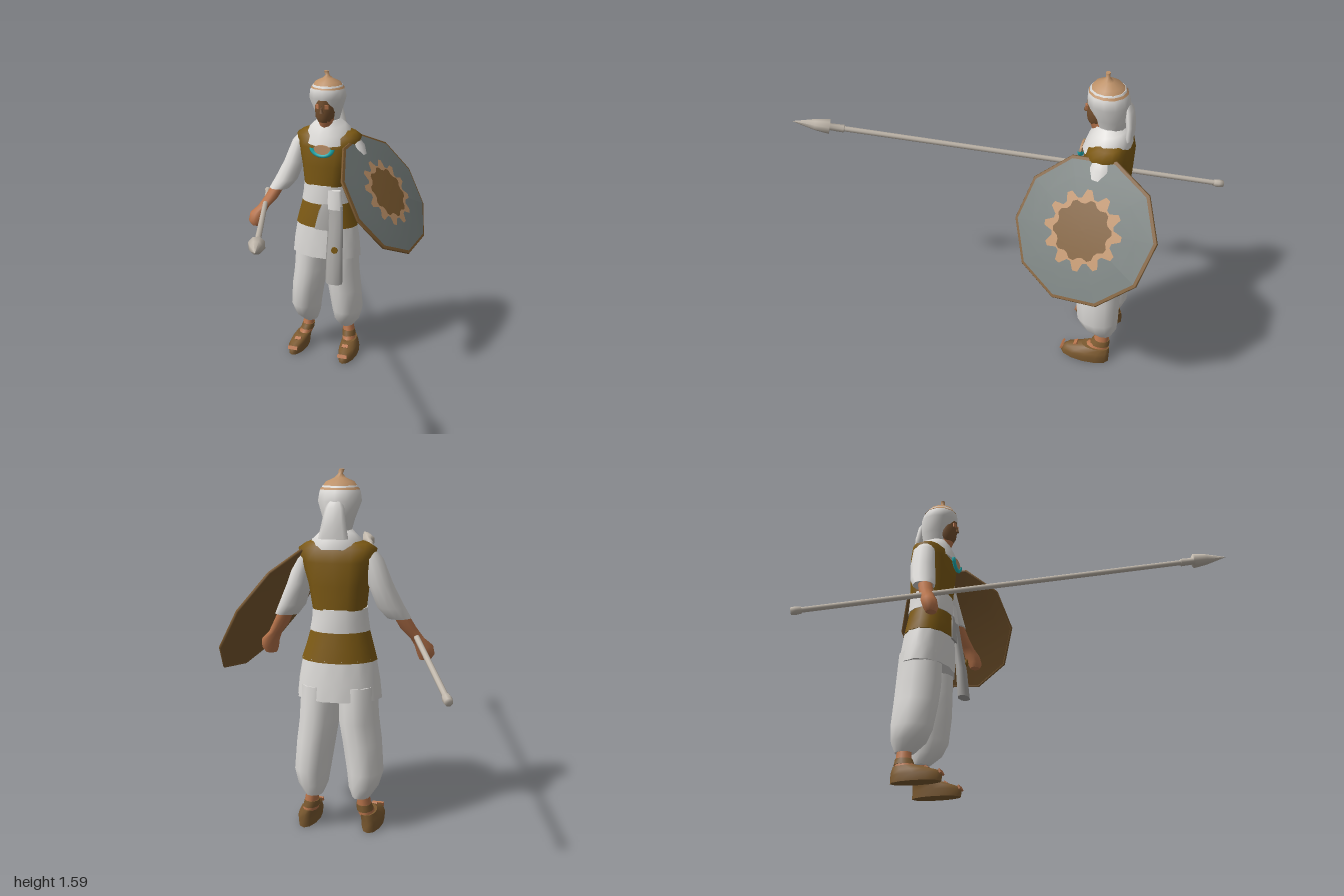
import * as THREE from 'three';

const mat = (name, color, side = THREE.FrontSide) => {
  const m = new THREE.MeshStandardMaterial({ color, side });
  m.name = name;
  return m;
};
const M = {
  white: mat('whiteCloth', 0xdcdad7, THREE.DoubleSide),
  grey: mat('greyCloth', 0xaaa8a5, THREE.DoubleSide),
  ochre: mat('ochreCloth', 0x7d5a14),
  slate: mat('shieldGrey', 0x727a78),
  tan: mat('tan', 0xbd9168),
  leather: mat('leather', 0x7c5a30),
  skin: mat('skin', 0xb9754c),
  beard: mat('beard', 0x75502f),
  teal: mat('teal', 0x1fb5b8),
  bone: mat('paleSpear', 0xc2b9ad),
};

// Skins horizontal rings [x, y, z, rx, rz, forwardDip]; square < 1 gives boxier rings
function loft(rings, n = 12, pleat = 0, square = 1) {
  const up = rings[0][1] < rings[rings.length - 1][1] ? rings : [...rings].reverse();
  const cap = r => [r[0], r[1], r[2], 0.0005, 0.0005, 0];
  const first = up[0], last = up[up.length - 1];
  const all = [cap(first), first, ...up, last, cap(last)];
  const bend = v => Math.sign(v) * Math.abs(v) ** square;
  const pos = [], idx = [];
  all.forEach(([x, y, z, rx, rz, dip = 0]) => {
    for (let j = 0; j < n; j++) {
      const a = (j / n) * Math.PI * 2;
      const k = 1 + (rx > 0.01 ? pleat * (j % 2 ? -1 : 1) : 0);
      pos.push(x + rx * k * bend(Math.cos(a)), y - dip * Math.sin(a), z + rz * k * bend(Math.sin(a)));
    }
  });
  for (let i = 0; i < all.length - 1; i++) {
    for (let j = 0; j < n; j++) {
      const a = i * n + j, b = i * n + (j + 1) % n, c = a + n, d = b + n;
      idx.push(a, c, b, b, c, d);
    }
  }
  const g = new THREE.BufferGeometry();
  g.setAttribute('position', new THREE.Float32BufferAttribute(pos, 3));
  g.setIndex(idx);
  g.computeVertexNormals();
  return g;
}

export function createModel() {
  const model = new THREE.Group();
  model.name = 'spearman';
  const add = (name, geo, material, parent = model) => {
    const mesh = new THREE.Mesh(geo, material);
    mesh.name = name;
    parent.add(mesh);
    return mesh;
  };

  // Legs, feet and arms, mirrored about the body's centre line
  const mid = 0.024;
  for (const s of [-1, 1]) {
    const side = s < 0 ? 'right' : 'left';
    const limb = rings => loft(rings.map(([d, ...rest]) => [mid + s * d, ...rest]));
    add(side + 'Trouser', limb([
      [0.085, 0.66, -0.512, 0.085, 0.112], [0.09, 0.5, -0.515, 0.09, 0.115],
      [0.105, 0.4, -0.517, 0.088, 0.112], [0.12, 0.27, -0.527, 0.082, 0.105],
      [0.115, 0.205, -0.54, 0.068, 0.088], [0.108, 0.155, -0.56, 0.04, 0.048]]), M.white);
    add(side + 'Ankle', limb([
      [0.112, 0.2, -0.56, 0.028, 0.034], [0.122, 0.11, -0.558, 0.032, 0.038],
      [0.13, 0.075, -0.54, 0.036, 0.06]]), M.skin);
    add(side + 'AnkleStrap', limb([
      [0.119, 0.122, -0.558, 0.034, 0.042], [0.125, 0.092, -0.552, 0.037, 0.051]]), M.leather);
    add(side + 'Sandal', limb([
      [0.147, 0, -0.483, 0.046, 0.125], [0.147, 0.035, -0.483, 0.049, 0.125],
      [0.143, 0.055, -0.495, 0.046, 0.113], [0.134, 0.08, -0.532, 0.039, 0.073]]), M.leather);
    const toes = add(side + 'Toes', new THREE.BoxGeometry(0.054, 0.02, 0.009), M.skin);
    toes.position.set(mid + s * 0.145, 0.042, -0.363);
    toes.rotation.x = -0.45;
    const instep = add(side + 'Instep', new THREE.BoxGeometry(0.034, 0.009, 0.02), M.skin);
    instep.position.set(mid + s * 0.139, 0.07, -0.432);
    instep.rotation.x = 0.55;
    add(side + 'Sleeve', limb([
      [0.12, 1.252, -0.5, 0.038, 0.04], [0.148, 1.21, -0.5, 0.047, 0.056],
      [0.181, 1.1, -0.49, 0.056, 0.064], [0.222, 1.0, -0.47, 0.062, 0.064],
      [0.255, 0.95, -0.452, 0.054, 0.054]]), M.white);
    add(side + 'Forearm', limb([
      [0.25, 0.98, -0.45, 0.036, 0.036], [0.292, 0.9, -0.425, 0.037, 0.036],
      [0.328, 0.85, -0.4, 0.031, 0.032], [0.355, 0.815, -0.385, 0.042, 0.04],
      [0.362, 0.775, -0.372, 0.04, 0.037], [0.358, 0.75, -0.37, 0.026, 0.025]]), M.skin);
  }

  // Tunic, sash and vest
  add('skirt', loft([
    [0.025, 0.6, -0.507, 0.188, 0.13], [0.025, 0.68, -0.505, 0.18, 0.127],
    [0.025, 0.78, -0.502, 0.163, 0.12]], 28, 0.02), M.white);
  add('tunicBand', loft([
    [0.025, 0.77, -0.502, 0.17, 0.126], [0.023, 0.83, -0.5, 0.152, 0.119],
    [0.022, 0.905, -0.5, 0.131, 0.108]], 16), M.ochre);
  add('sash', loft([
    [0.022, 0.9, -0.5, 0.135, 0.113], [0.021, 0.95, -0.5, 0.126, 0.111],
    [0.021, 1.0, -0.5, 0.122, 0.108]], 16), M.white);
  add('vest', loft([
    [0.022, 0.995, -0.5, 0.117, 0.102], [0.024, 1.1, -0.5, 0.132, 0.106],
    [0.028, 1.2, -0.5, 0.157, 0.108], [0.03, 1.255, -0.502, 0.174, 0.09],
    [0.03, 1.278, -0.505, 0.14, 0.07], [0.03, 1.3, -0.505, 0.08, 0.055]], 16, 0, 0.8), M.ochre);

  // Cloth hanging from the sash
  add('frontFold', loft([
    [0.04, 0.765, -0.378, 0.045, 0.008], [0.05, 0.86, -0.386, 0.036, 0.008],
    [0.052, 0.905, -0.393, 0.022, 0.006]], 8), M.grey);
  add('hangingCloth', loft([
    [0.12, 0.485, -0.343, 0.047, 0.03], [0.115, 0.63, -0.358, 0.046, 0.028],
    [0.11, 0.78, -0.383, 0.042, 0.022], [0.1, 0.9, -0.402, 0.044, 0.02]], 8), M.grey);
  add('sashKnot', loft([
    [0.1, 0.88, -0.398, 0.045, 0.02], [0.09, 0.98, -0.41, 0.04, 0.018]], 8), M.white);
  add('clothSpot', new THREE.CylinderGeometry(0.018, 0.018, 0.008, 8).rotateX(Math.PI / 2), M.ochre)
    .position.set(0.122, 0.675, -0.335);

  // Scarf and necklace
  add('scarf', loft([
    [0.032, 1.235, -0.488, 0.128, 0.112, 0.022], [0.032, 1.285, -0.492, 0.115, 0.1, 0.02],
    [0.032, 1.315, -0.49, 0.085, 0.08, 0.012], [0.032, 1.34, -0.485, 0.055, 0.06]], 14), M.white);
  add('throat', new THREE.CylinderGeometry(0.05, 0.05, 0.009, 14).rotateX(Math.PI / 2).scale(1, 0.55, 1), M.tan)
    .position.set(0.032, 1.197, -0.375);
  add('necklace', new THREE.TorusGeometry(0.055, 0.013, 6, 14, Math.PI).rotateZ(Math.PI).scale(1, 0.75, 0.7), M.teal)
    .position.set(0.032, 1.208, -0.374);

  // Head and turban
  add('neck', loft([
    [0.03, 1.28, -0.475, 0.042, 0.05], [0.03, 1.36, -0.455, 0.042, 0.068]]), M.skin);
  add('face', loft([
    [0.026, 1.335, -0.43, 0.032, 0.034], [0.026, 1.36, -0.436, 0.048, 0.052],
    [0.026, 1.41, -0.44, 0.054, 0.062], [0.026, 1.45, -0.44, 0.045, 0.06]]), M.beard);
  add('nose', new THREE.ConeGeometry(0.012, 0.04, 5), M.beard).position.set(0.026, 1.408, -0.379);
  for (const s of [-1, 1]) {
    const cheek = add('cheek', new THREE.BoxGeometry(0.02, 0.022, 0.008), M.skin);
    cheek.position.set(0.026 + s * 0.024, 1.42, -0.384);
    cheek.rotation.y = s * 0.4;
  }
  add('turban', loft([
    [0.026, 1.31, -0.495, 0.05, 0.06], [0.026, 1.38, -0.492, 0.07, 0.08],
    [0.026, 1.455, -0.477, 0.097, 0.097], [0.026, 1.495, -0.472, 0.091, 0.09],
    [0.026, 1.52, -0.47, 0.076, 0.077]]), M.white);
  add('capCrown', loft([
    [0.026, 1.503, -0.472, 0.088, 0.088], [0.026, 1.535, -0.468, 0.063, 0.063],
    [0.026, 1.552, -0.466, 0.026, 0.026], [0.026, 1.568, -0.464, 0.01, 0.01],
    [0.02, 1.588, -0.462, 0.013, 0.011]]), M.tan);
  add('turbanTail', loft([
    [0.03, 1.3, -0.585, 0.066, 0.016], [0.028, 1.36, -0.582, 0.054, 0.02],
    [0.026, 1.43, -0.57, 0.042, 0.02], [0.026, 1.465, -0.555, 0.025, 0.012]], 8), M.white);

  // Spear, modelled along y then aimed from butt to tip
  const butt = new THREE.Vector3(-0.52, 0.738, -0.99), tip = new THREE.Vector3(0.243, 1.175, 0.995);
  const axis = tip.clone().sub(butt), len = axis.length();
  const spear = new THREE.Group();
  spear.name = 'spear';
  spear.position.copy(butt);
  spear.quaternion.setFromUnitVectors(new THREE.Vector3(0, 1, 0), axis.normalize());
  model.add(spear);
  const lathe = pts => new THREE.LatheGeometry(pts.map(p => new THREE.Vector2(...p)), 8);
  add('shaft', lathe([[0.013, 0.02], [0.013, len - 0.2]]), M.bone, spear);
  add('buttCap', lathe([[0, 0], [0.018, 0], [0.02, 0.025], [0.017, 0.05], [0.012, 0.05]]), M.bone, spear);
  add('spearHead', lathe([[0.012, len - 0.25], [0.019, len - 0.245], [0.017, len - 0.18],
    [0.036, len - 0.178], [0.027, len - 0.11], [0, len]]), M.bone, spear);

  // Shield: nearly flat discs facing +z, then turned outward
  const R = 0.335;
  const shield = new THREE.Group();
  shield.name = 'shield';
  shield.position.set(0.346, 0.975, -0.473);
  shield.quaternion.setFromUnitVectors(new THREE.Vector3(0, 0, 1),
    new THREE.Vector3(0.818, 0.545, 0.184).normalize());
  model.add(shield);
  const disc = (radius, sides, lift, teeth = 0) => {
    const g = new THREE.RingGeometry(0.0005, radius, sides, 4);
    const p = g.attributes.position;
    for (let i = 0; i < p.count; i++) {
      const j = i % (sides + 1) % sides;
      const k = j % 4 < 2 ? 1 : 1 - teeth;
      const x = p.getX(i) * k, y = p.getY(i) * k;
      p.setXYZ(i, x, y, 0.014 * (1 - (x * x + y * y) / (R * R)) + lift);
    }
    g.computeVertexNormals();
    return g;
  };
  add('shieldEdge', disc(R, 10, 0), M.leather, shield);
  add('shieldFace', disc(R * 0.96, 10, 0.003), M.slate, shield);
  add('shieldStar', disc(0.182, 48, 0.006, 0.2), M.tan, shield);
  add('shieldBoss', disc(0.137, 40, 0.009, 0.12), M.leather, shield);
  const back = disc(R, 10, -0.012);
  back.setIndex([...back.index.array].reverse());
  back.computeVertexNormals();
  add('shieldBack', back, M.leather, shield);
  add('shieldRim', new THREE.TorusGeometry(R - 0.004, 0.007, 6, 10), M.leather, shield)
    .position.z = -0.006;
  return model;
}
